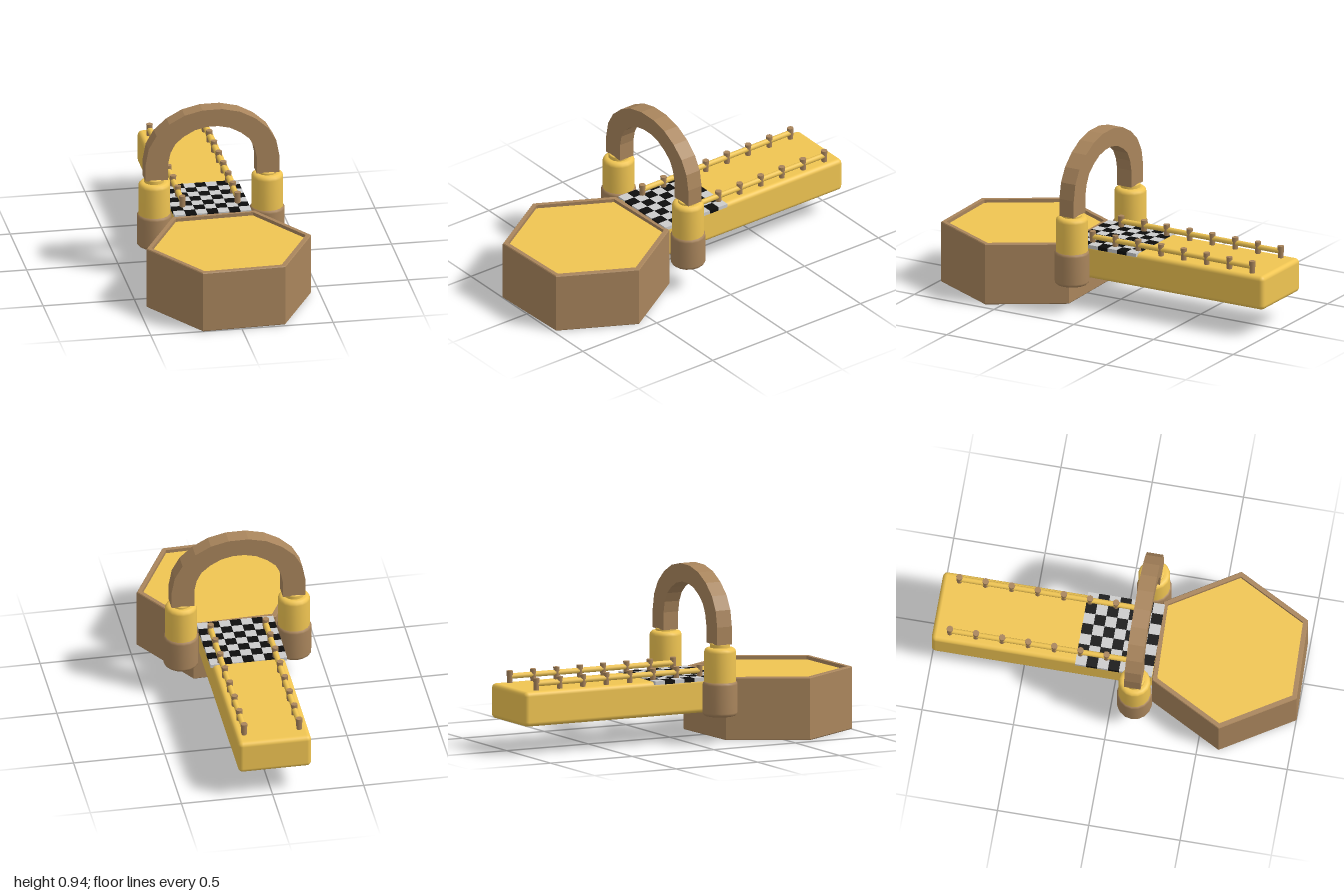
import * as THREE from 'three';
import { RoundedBoxGeometry } from 'three/addons/geometries/RoundedBoxGeometry.js';

const paint = (color, flatShading = false) => new THREE.MeshStandardMaterial({ color, flatShading });
const brown = paint(0xa9855c);
const brownFlat = paint(0xa9855c, true);
const yellow = paint(0xf0c552);
const yellowFlat = paint(0xf0c552, true);
const grey = paint(0xcccccc);
const black = paint(0x0d0d0d);

function add(parent, name, geometry, material, x = 0, y = 0, z = 0) {
  const mesh = new THREE.Mesh(geometry, material);
  mesh.name = name;
  mesh.position.set(x, y, z);
  parent.add(mesh);
  return mesh;
}

function addGroup(parent, name) {
  const group = new THREE.Group();
  group.name = name;
  parent.add(group);
  return group;
}

function lathe(points, sides, start = 0) {
  return new THREE.LatheGeometry(points.map(([r, y]) => new THREE.Vector2(r, y)), sides, start);
}

// Solid round drum with rounded top and bottom edges
function drum(radius, bottom, top, round) {
  const points = [[0, bottom]];
  for (let i = 0; i <= 3; i++) {
    const a = (i / 3) * Math.PI / 2;
    points.push([radius - round + round * Math.sin(a), bottom + round - round * Math.cos(a)]);
  }
  for (let i = 0; i <= 3; i++) {
    const a = (i / 3) * Math.PI / 2;
    points.push([radius - round + round * Math.cos(a), top - round + round * Math.sin(a)]);
  }
  points.push([0, top]);
  return lathe(points, 16);
}

export function createModel() {
  const model = new THREE.Group();
  model.name = 'bridgeGate';

  // Hexagonal platform with a raised rim and an inset floor
  const platform = addGroup(model, 'platform');
  const turn = THREE.MathUtils.degToRad(92);
  add(platform, 'platformBody', lathe([[0, 0], [0.45, 0], [0.455, 0.005], [0.455, 0.338], [0.451, 0.343],
    [0.425, 0.343], [0.425, 0.32]], 6, turn), brownFlat, 0, 0, 0.6);
  add(platform, 'platformFloor', lathe([[0.426, 0.324], [0, 0.324]], 6, turn), yellowFlat, 0, 0, 0.6);

  // Bridge deck
  const midX = -0.015;
  add(model, 'deck', new RoundedBoxGeometry(0.4, 0.19, 1.22, 3, 0.025), yellow, midX, 0.25, -0.39);

  // Checkered mat, seven by seven tiles
  const mat = addGroup(model, 'checkeredMat');
  const tile = new THREE.BoxGeometry(0.06, 0.02, 0.06);
  for (let row = 0; row < 7; row++) {
    for (let col = 0; col < 7; col++) {
      add(mat, 'tile', tile, (row + col) % 2 ? black : grey,
        midX + (col - 3) * 0.06, 0.34, (row - 3) * 0.06);
    }
  }

  // Railings: a round rail through eight posts on each side
  const postGeometry = new THREE.CylinderGeometry(0.018, 0.015, 0.075, 8);
  const railGeometry = new THREE.CylinderGeometry(0.015, 0.015, 1, 10).rotateX(Math.PI / 2);
  for (const [side, x] of [['right', -0.163], ['left', 0.139]]) {
    const railing = addGroup(model, side + 'Railing');
    add(railing, 'rail', railGeometry, yellow, x, 0.381, -0.405);
    for (let i = 0; i < 8; i++) {
      add(railing, 'post', postGeometry, brown, x, 0.374, 0.095 - i * 0.143);
    }
  }

  // Gate towers: brown base, yellow column and collar
  for (const [side, x, top] of [['right', -0.325, 0.526], ['left', 0.295, 0.536]]) {
    const tower = addGroup(model, side + 'Tower');
    add(tower, 'towerBase', drum(0.095, 0.153, 0.345, 0.02), brown, x, 0, 0.133);
    add(tower, 'towerColumn', drum(0.087, 0.3, top, 0.025), yellow, x, 0, 0.133);
    add(tower, 'towerCollar', drum(0.055, 0.5, 0.549, 0.006), yellow, x, 0, 0.133);
  }

  // Faceted arch spanning the towers, half profile mirrored
  const outer = [[0.367, 0.546], [0.367, 0.643], [0.35, 0.732], [0.307, 0.807], [0.237, 0.87], [0.152, 0.916], [0.054, 0.939]];
  const inner = [[0.243, 0.546], [0.243, 0.643], [0.23, 0.703], [0.203, 0.754], [0.157, 0.793], [0.097, 0.826], [0.032, 0.841]];
  const flip = (points) => points.map(([x, y]) => [-x, y]);
  const outline = [...outer, ...flip(outer).reverse(), ...flip(inner), ...[...inner].reverse()];
  const archShape = new THREE.Shape(outline.map(([x, y]) => new THREE.Vector2(x, y)));
  add(model, 'arch', new THREE.ExtrudeGeometry(archShape, { depth: 0.09, bevelEnabled: false }),
    brownFlat, -0.0125, 0, 0.086);

  return model;
}
